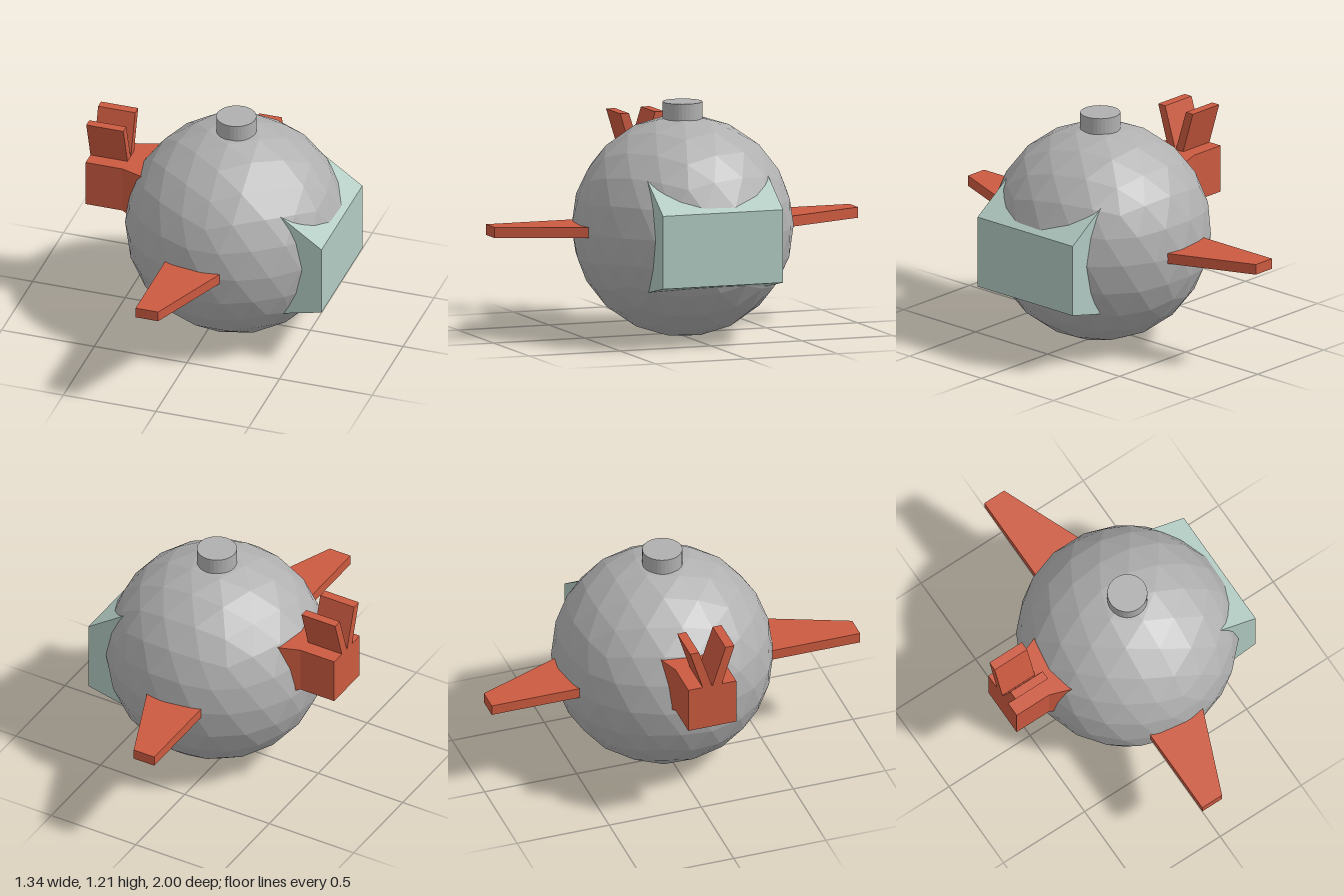
import * as THREE from 'three';

const mat = (name, color) => Object.assign(new THREE.MeshStandardMaterial({ color, flatShading: true }), { name });

export function createModel() {
  const grey = mat('hull grey', 0xb0b0b0);
  const red = mat('fin red', 0xcc5a40);
  const teal = mat('window teal', 0xb2cbc3);

  const model = new THREE.Group();
  model.name = 'sphericalShip';
  const add = (name, geometry, material, x = 0, y = 0, z = 0) => {
    const mesh = new THREE.Mesh(geometry, material);
    mesh.name = name;
    mesh.position.set(x, y, z);
    model.add(mesh);
    return mesh;
  };

  // Straight prism from an outline
  const prism = (points, depth) => new THREE.ExtrudeGeometry(
    new THREE.Shape(points.map(([x, y]) => new THREE.Vector2(x, y))),
    { depth, bevelEnabled: false });

  // Faceted ball hull, turned so that a corner points straight up
  const ball = new THREE.IcosahedronGeometry(0.57, 3);
  ball.rotateZ(Math.atan(2 / (1 + Math.sqrt(5))));
  ball.rotateY(Math.PI / 2);
  add('hull', ball, grey, 0.1, 0.57, 0);

  // Round hatch on top
  add('hatch', new THREE.CylinderGeometry(0.103, 0.103, 0.11, 32), grey, 0.1, 1.156, 0);

  // Wedge-sided window block
  add('window', prism([[0.67, 0.333], [0.67, 0.71], [0.35, 0.934], [0.35, 0.263]], 0.66), teal, 0, 0, -0.33);

  // Tapered wings on both sides
  for (const side of [1, -1]) {
    const outline = [[-0.11, 0.4], [0.257, 0.4], [0.012, 1], [-0.11, 1]].map(([x, z]) => [x, z * side]);
    const wing = prism(outline, 0.055).rotateX(Math.PI / 2);
    add(side > 0 ? 'leftWing' : 'rightWing', wing, red, 0, 0.6, 0);
  }

  // Tail block
  add('tailBlock', new THREE.BoxGeometry(0.2, 0.25, 0.26), red, -0.57, 0.732, 0);

  // Flared neck joining the tail to the hull
  const neck = new THREE.BoxGeometry(0.17, 0.25, 0.26);
  const p = neck.attributes.position;
  for (let i = 0; i < p.count; i++) {
    if (p.getX(i) > 0) {
      p.setZ(i, p.getZ(i) * 1.46);
      if (p.getY(i) < 0) p.setY(i, p.getY(i) - 0.07);
    }
  }
  neck.computeVertexNormals();
  add('tailNeck', neck, red, -0.385, 0.732, 0);

  // Pair of tail fins leaning apart
  for (const side of [1, -1]) {
    const outline = [[0, 0.85], [0.05, 0.85], [0.12, 1.077], [0.072, 1.077]].map(([z, y]) => [-z * side, y]);
    const fin = prism(outline, 0.2).rotateY(Math.PI / 2);
    add(side > 0 ? 'leftTailFin' : 'rightTailFin', fin, red, -0.67, 0, 0);
  }

  return model;
}
